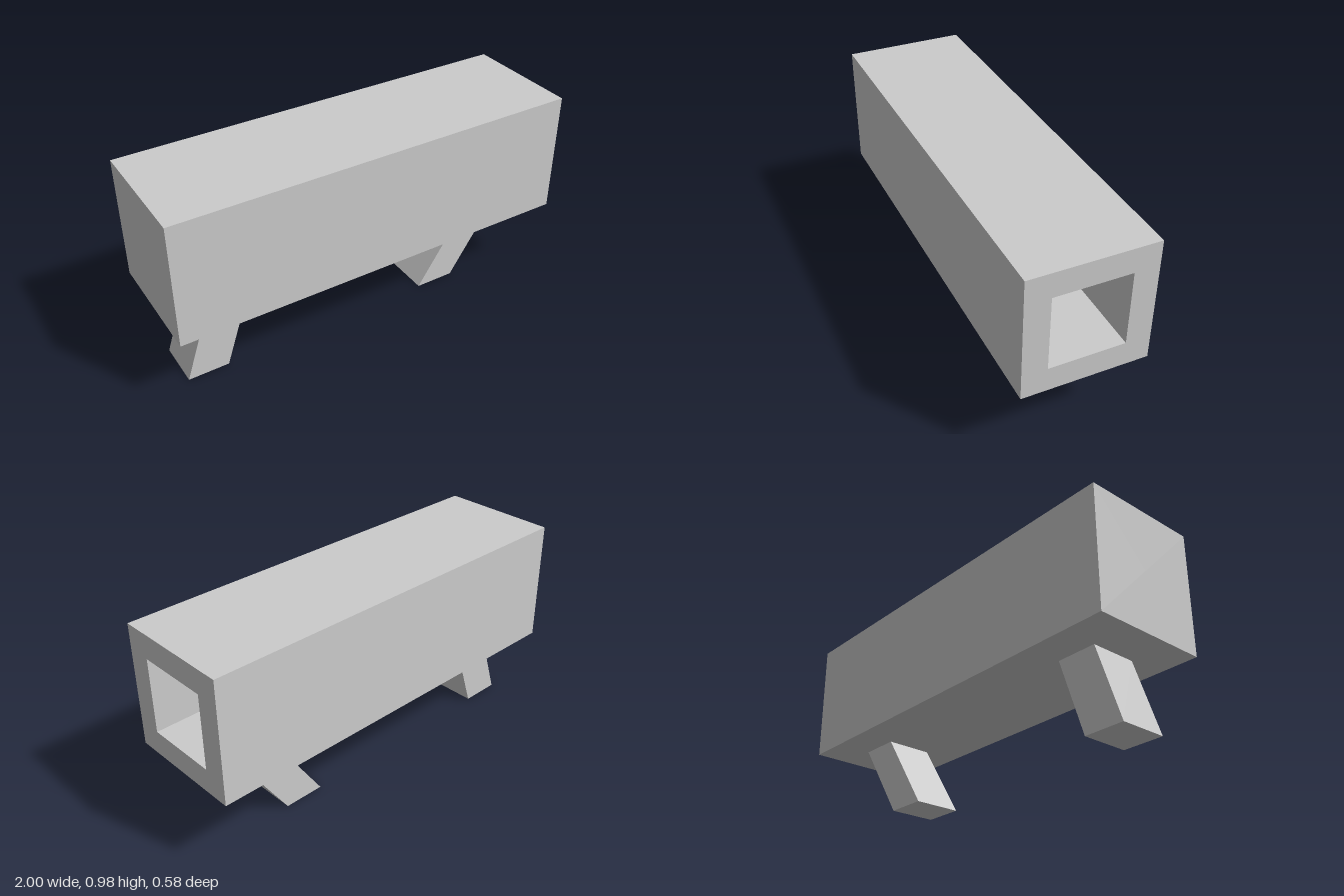
import * as THREE from 'three';

const material = new THREE.MeshStandardMaterial({ color: 0xcccccc, flatShading: true });

// Square tube along x, open at +x and closed at -x: a four-sided lathe
function createBody() {
  const corner = Math.SQRT2, inner = 0.604 * corner, backWall = -0.885;
  const profile = [
    [0, -1], [corner, -1], [corner, 1], [inner, 1], [inner, backWall], [0, backWall],
  ].map(([r, y]) => new THREE.Vector2(r, y));
  const geometry = new THREE.LatheGeometry(profile, 4, Math.PI / 4)
    .rotateZ(-Math.PI / 2)
    .scale(1, 0.299, 0.291)
    .translate(0, 0.676, 0);
  const body = new THREE.Mesh(geometry.toNonIndexed(), material);
  body.name = 'hollowBody';
  return body;
}

// Slanted leg: a parallelogram extruded across z
function createLeg(name, topX, footX) {
  const top = 0.377, width = 0.2, depth = 0.23;
  const shape = new THREE.Shape([
    new THREE.Vector2(footX, 0),
    new THREE.Vector2(footX + width, 0),
    new THREE.Vector2(topX + width, top),
    new THREE.Vector2(topX, top),
  ]);
  const geometry = new THREE.ExtrudeGeometry(shape, { depth, bevelEnabled: false })
    .translate(0, 0, -depth / 2);
  const leg = new THREE.Mesh(geometry, material);
  leg.name = name;
  return leg;
}

export function createModel() {
  const model = new THREE.Group();
  model.name = 'hollowBeamOnLegs';
  model.add(
    createBody(),
    createLeg('closedEndLeg', -0.8, -0.925),
    createLeg('openEndLeg', 0.6, 0.35),
  );
  return model;
}
